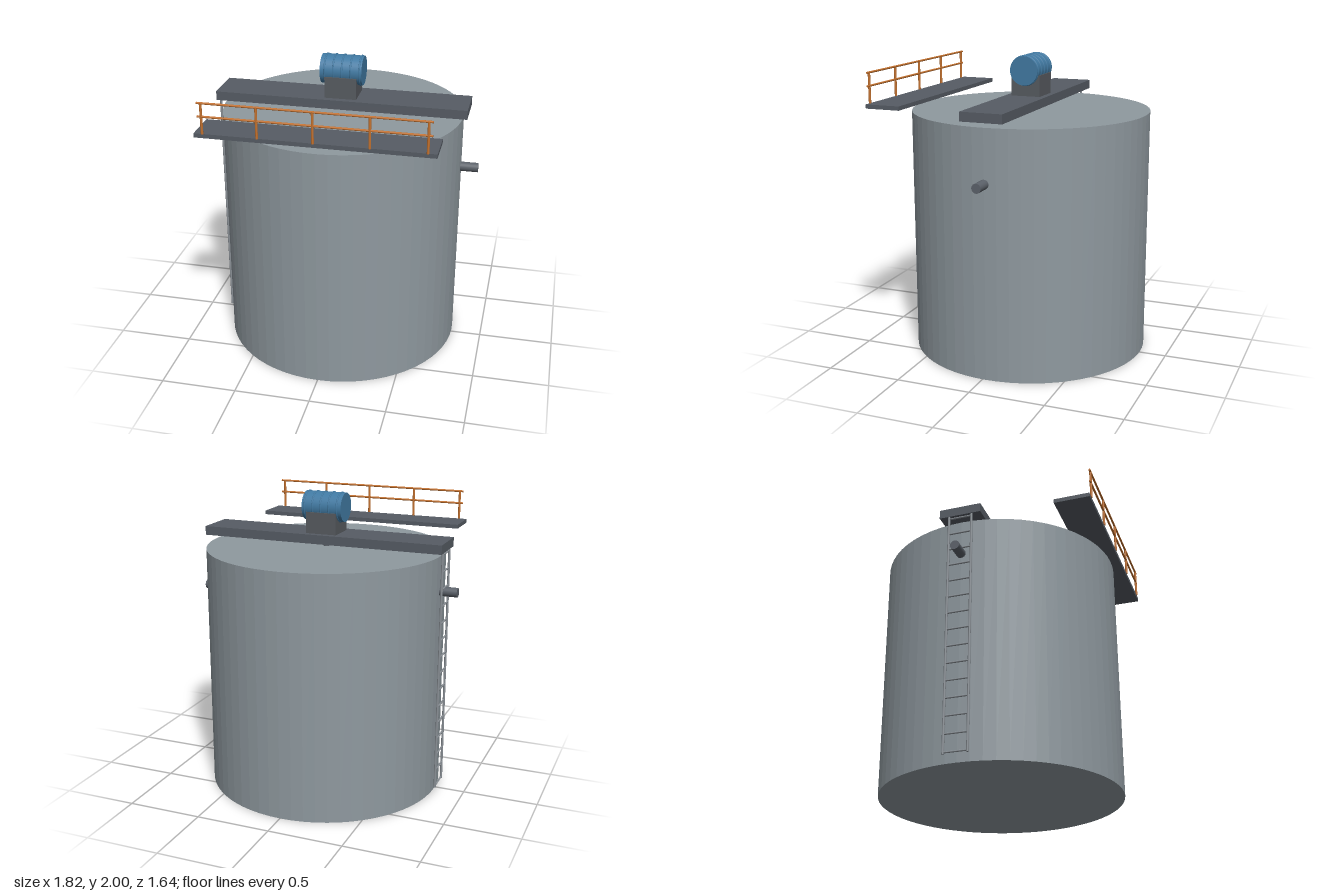
import * as THREE from 'three';

const paint = (color, flatShading = false) => new THREE.MeshStandardMaterial({ color, flatShading });

export function createModel() {
  const model = new THREE.Group();
  const tankMat = paint(0x8f999f, true);
  const steel = paint(0x565c64);
  const pipeMat = paint(0x5c626a);
  const galvanised = paint(0x8a9096);
  const blue = paint(0x417aa3);
  const orange = paint(0xc4722f);
  const axisZ = -0.025; // tank centre line

  const add = (parent, name, geometry, material, x, y, z) => {
    const mesh = new THREE.Mesh(geometry, material);
    mesh.name = name;
    mesh.position.set(x, y, z);
    parent.add(mesh);
    return mesh;
  };
  const box = (parent, name, w, h, d, mat, x, y, z) =>
    add(parent, name, new THREE.BoxGeometry(w, h, d), mat, x, y, z);
  // Round bar along a chosen axis
  const bar = (parent, name, axis, r, length, mat, x, y, z, sides = 12) => {
    const g = new THREE.CylinderGeometry(r, r, length, sides);
    if (axis === 'x') g.rotateZ(Math.PI / 2);
    if (axis === 'z') g.rotateX(Math.PI / 2);
    return add(parent, name, g, mat, x, y, z);
  };
  const group = (name) => {
    const g = new THREE.Group();
    g.name = name;
    model.add(g);
    return g;
  };

  // Tank with closed roof and floor
  bar(model, 'tank', 'y', 0.795, 1.635, tankMat, 0, 0.8175, axisZ, 64);

  // Inlet and outlet pipes at different heights
  bar(model, 'inletPipe', 'x', 0.031, 0.16, pipeMat, -0.83, 1.4, axisZ, 24);
  bar(model, 'outletPipe', 'x', 0.031, 0.16, pipeMat, 0.83, 1.285, axisZ, 24);

  // Bridge across the tank with the drive shaft beneath
  box(model, 'bridge', 1.665, 0.06, 0.28, steel, 0, 1.7, axisZ);
  bar(model, 'driveShaft', 'y', 0.02, 0.12, pipeMat, 0, 1.63, axisZ, 16);

  // Drive: gearbox and ribbed motor
  const drive = group('drive');
  box(drive, 'gearbox', 0.21, 0.14, 0.2, paint(0x575b60), 0, 1.8, axisZ);
  bar(drive, 'motor', 'x', 0.096, 0.275, blue, 0, 1.9, axisZ, 32);
  for (let i = -2; i <= 2; i++) {
    const fin = new THREE.TorusGeometry(0.095, 0.006, 8, 32).rotateY(Math.PI / 2);
    add(drive, 'motorFin', fin, blue, 0.007 + i * 0.057, 1.9, axisZ);
  }

  // Walkway along the front edge
  box(model, 'walkway', 1.47, 0.027, 0.235, steel, 0, 1.706, 0.695);

  // Guard rail: five posts and two rails
  const guard = group('guardRail');
  for (let i = -2; i <= 2; i++) bar(guard, 'post', 'y', 0.008, 0.2, orange, i * 0.34, 1.818, 0.812);
  for (const y of [1.83, 1.915]) bar(guard, 'rail', 'x', 0.007, 1.41, orange, 0, y, 0.812);

  // Ladder on the right side
  const ladder = group('ladder');
  for (const s of [-1, 1]) bar(ladder, 'ladderRail', 'y', 0.008, 1.62, galvanised, -0.823, 0.86, axisZ + s * 0.077);
  for (let i = 0; i < 15; i++) bar(ladder, 'rung', 'z', 0.006, 0.154, galvanised, -0.823, 0.06 + i * 0.114, axisZ, 8);

  return model;
}
